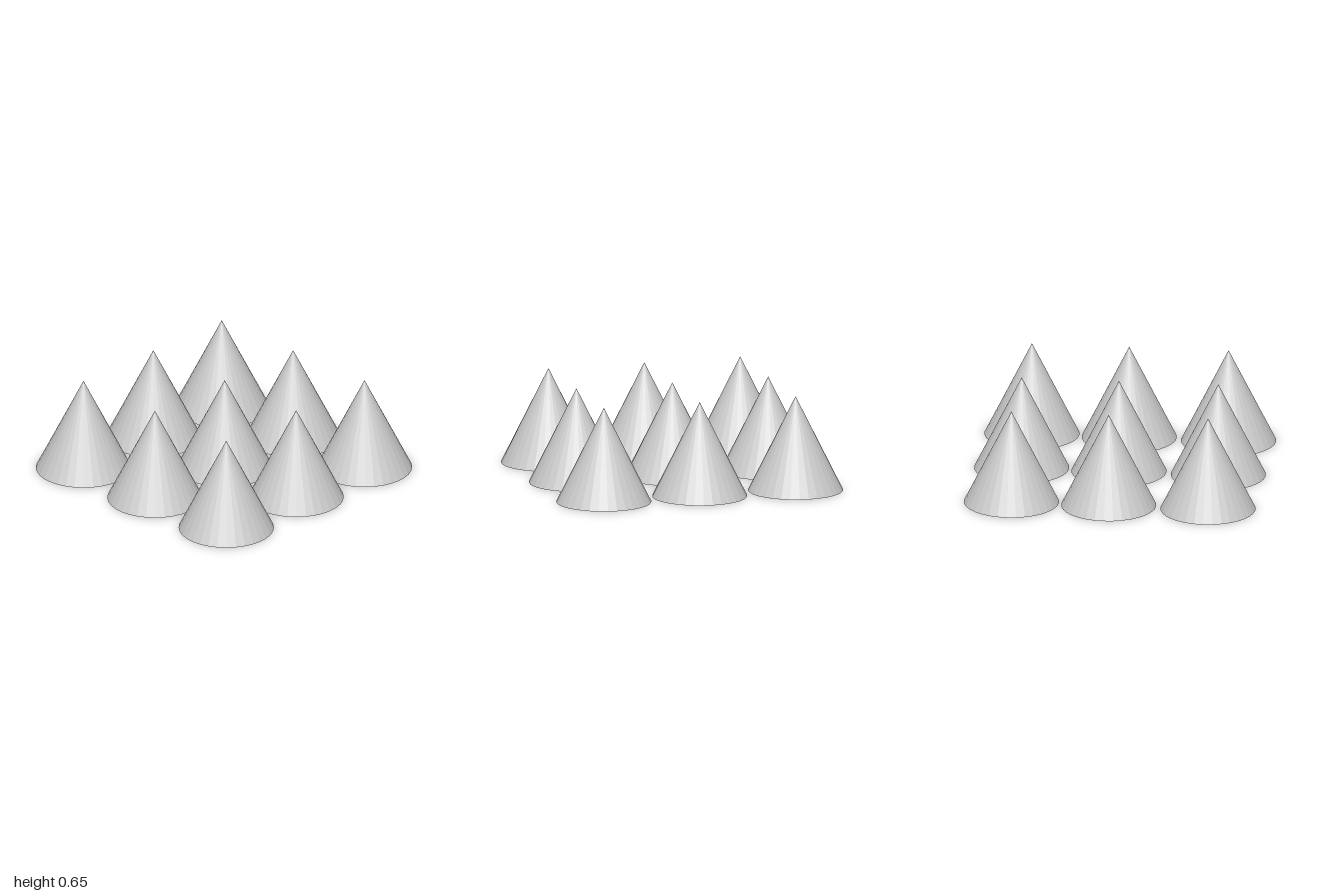
import * as THREE from 'three';

const RADIUS = 0.323;
const HEIGHT = 0.65;
const COLUMNS = [-0.67, 0.007, 0.67]; // middle column sits slightly off centre
const ROWS = [-0.677, 0, 0.677];

export function createModel() {
  const model = new THREE.Group();
  model.name = 'coneGrid';

  const material = new THREE.MeshStandardMaterial({ color: 0xcccccc, flatShading: true });

  // One closed cone standing on y = 0, shared by the whole grid
  const geometry = new THREE.ConeGeometry(RADIUS, HEIGHT, 32);
  geometry.translate(0, HEIGHT / 2, 0);

  // Three rows of three cones
  ROWS.forEach((z, row) => {
    COLUMNS.forEach((x, column) => {
      const cone = new THREE.Mesh(geometry, material);
      cone.name = `coneRow${row + 1}Column${column + 1}`;
      cone.position.set(x, 0, z);
      model.add(cone);
    });
  });

  return model;
}
